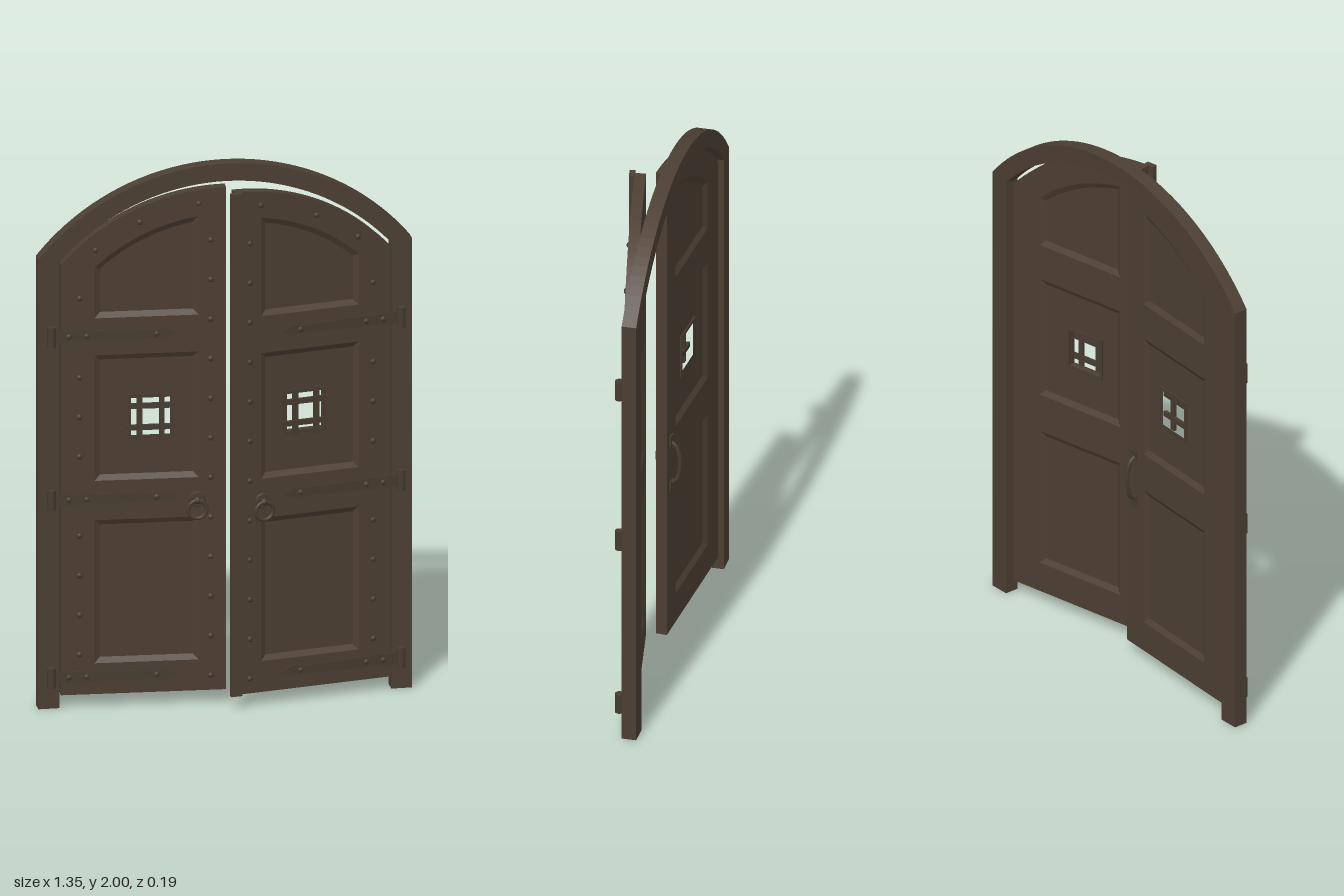
import * as THREE from 'three';

const wood = new THREE.MeshStandardMaterial({ color: 0x4c3e32 });
wood.name = 'dark oak';
const iron = new THREE.MeshStandardMaterial({ color: 0x463b30 });
iron.name = 'brown iron';

const CY = 1.128;                       // shared centre height of all arches
const FRONT = -0.044, BACK = -0.085;    // faces of a closed door leaf
const PANEL_FRONT = -0.056, PANEL_BACK = -0.073;
const PIVOT_X = 0.632, PIVOT_Z = -0.03;
const STRAPS = [0.116, 0.78, 1.39];

function add(parent, name, geometry, material, x = 0, y = 0, z = 0) {
  const mesh = new THREE.Mesh(geometry, material);
  mesh.name = name;
  mesh.position.set(x, y, z);
  parent.add(mesh);
  return mesh;
}

const vec = (x, y) => new THREE.Vector2(x, y);
const archY = (x, r) => CY + Math.sqrt(r * r - x * x);

// Points along an arch from x = a to x = b
function arch(r, a, b, n = 20) {
  const t0 = Math.acos(a / r), t1 = Math.acos(b / r), pts = [];
  for (let i = 0; i <= n; i++) {
    const t = t0 + (t1 - t0) * i / n;
    pts.push(vec(r * Math.cos(t), CY + r * Math.sin(t)));
  }
  return pts;
}

function plate(outline, holes, z0, z1) {
  const shape = new THREE.Shape(outline);
  holes.forEach(h => shape.holes.push(new THREE.Path(h)));
  const g = new THREE.ExtrudeGeometry(shape, { depth: z1 - z0, bevelEnabled: false });
  return g.translate(0, 0, z0);
}

const rect = (x0, x1, y0, y1) => [vec(x0, y0), vec(x1, y0), vec(x1, y1), vec(x0, y1)];

// Panel outline, shrunk by an inset; r gives an arched top
function panelOutline({ y0, y1, r }, inset) {
  const x0 = 0.104 + inset, x1 = 0.476 - inset;
  if (!r) return rect(x0, x1, y0 + inset, y1 - inset);
  return [vec(x0, y0 + inset), vec(x1, y0 + inset), ...arch(r - inset, x1, x0, 14)];
}

// Sloped moulding between two outlines at two depths
function moulding(outer, inner, zOuter, zInner, flip) {
  const pos = [], idx = [], n = outer.length;
  for (let i = 0; i < n; i++) {
    pos.push(outer[i].x, outer[i].y, zOuter, inner[i].x, inner[i].y, zInner);
    const a = 2 * i, b = 2 * ((i + 1) % n);
    if (flip) idx.push(a, b + 1, b, a, a + 1, b + 1);
    else idx.push(a, b, b + 1, a, b + 1, a + 1);
  }
  let g = new THREE.BufferGeometry();
  g.setAttribute('position', new THREE.Float32BufferAttribute(pos, 3));
  g.setIndex(idx);
  g = g.toNonIndexed();
  g.computeVertexNormals();
  return g;
}

const studGeo = new THREE.SphereGeometry(0.011, 10, 4, 0, Math.PI * 2, 0, Math.PI / 2)
  .rotateX(Math.PI / 2).scale(1, 1, 0.7);

// One leaf; s = 1 for the left (+x) leaf, -1 for the right
function makeDoor(s, angle) {
  const pivot = new THREE.Group();
  pivot.name = s > 0 ? 'leftDoor' : 'rightDoor';
  pivot.position.set(s * PIVOT_X, 0, PIVOT_Z);
  pivot.rotation.y = s * angle;
  const door = new THREE.Group();
  door.name = 'doorLeaf';
  door.position.set(-s * PIVOT_X, 0, -PIVOT_Z);
  pivot.add(door);
  const flipX = pts => pts.map(p => vec(s * p.x, p.y));

  // Stiles and rails
  const panels = [{ y0: 0.165, y1: 0.70 }, { y0: 0.847, y1: 1.317 }, { y0: 1.455, r: 0.703 }];
  const leaf = [vec(0.006, 0.05), vec(0.597, 0.05), ...arch(0.8, 0.597, 0.006)];
  add(door, 'stilesAndRails',
    plate(flipX(leaf), panels.map(p => flipX(panelOutline(p, 0))), BACK, FRONT), wood);

  // Recessed panels with sloped mouldings on both faces
  const wx = 0.275, wy = 1.08;
  const opening = flipX(rect(wx - 0.07, wx + 0.07, wy - 0.07, wy + 0.07));
  panels.forEach((p, i) => {
    const outer = flipX(panelOutline(p, 0)), inner = flipX(panelOutline(p, 0.02));
    add(door, 'panel', plate(outer, i === 1 ? [opening] : [], PANEL_BACK, PANEL_FRONT), wood);
    add(door, 'frontMoulding', moulding(outer, inner, FRONT, PANEL_FRONT, s < 0), wood);
    add(door, 'backMoulding', moulding(outer, inner, BACK, PANEL_BACK, s > 0), wood);
  });

  // Barred peep window
  const surround = flipX(rect(wx - 0.081, wx + 0.081, wy - 0.081, wy + 0.081));
  add(door, 'windowSurround', plate(surround, [opening], PANEL_BACK - 0.006, PANEL_FRONT + 0.006), iron);
  for (const o of [-0.04, 0.04]) {
    add(door, 'windowBar', new THREE.BoxGeometry(0.019, 0.176, 0.012), iron, s * (wx + o), wy, -0.047);
    add(door, 'windowCrossbar', new THREE.BoxGeometry(0.176, 0.019, 0.012), iron, s * wx, wy + o, -0.05);
  }

  // Studs along stiles, arch and straps
  const studs = [];
  for (let i = 0; i < 12; i++) studs.push([0.061, 0.105 + 0.148 * i]);
  for (let i = 0; i < 10; i++) if (i !== 4 && i !== 8) studs.push([0.53, 0.2 + 0.148 * i]);
  for (const x of [0.103, 0.315, 0.473]) studs.push([x, archY(x, 0.75)]);
  for (const y of STRAPS) for (const x of [0.568, 0.504, 0.254]) studs.push([x, y]);
  for (const [x, y] of studs) add(door, 'stud', studGeo, iron, s * x, y, FRONT + 0.001);

  // Tapered strap hinges with knuckles
  for (const y of STRAPS) {
    const strap = [vec(0.625, y - 0.022), vec(0.625, y + 0.022), vec(0.26, y + 0.015),
      vec(0.225, y + 0.022), vec(0.18, y), vec(0.225, y - 0.022), vec(0.26, y - 0.015)];
    add(door, 'hingeStrap', plate(flipX(strap), [], FRONT, FRONT + 0.003), iron);
    add(door, 'hingeKnuckle', new THREE.CylinderGeometry(0.016, 0.016, 0.075, 14), iron,
      s * PIVOT_X, y + 0.005, PIVOT_Z);
  }

  // Ring pull
  const rx = s * 0.11;
  const rose = add(door, 'ringRose', new THREE.CylinderGeometry(0.026, 0.03, 0.008, 16), iron, rx, 0.765, FRONT + 0.004);
  rose.rotation.x = Math.PI / 2;
  add(door, 'ringBoss', new THREE.SphereGeometry(0.014, 12, 8), iron, rx, 0.765, FRONT + 0.014);
  add(door, 'ringPull', new THREE.TorusGeometry(0.033, 0.007, 8, 24), iron, rx, 0.732, FRONT + 0.018);

  if (s > 0) {
    // Cover strip over the meeting edge
    add(door, 'coverStrip', new THREE.BoxGeometry(0.041, 1.878, 0.02), wood, 0.0055, 0.989, FRONT + 0.009);
  } else {
    // Bowed pull handle on the inside
    const curve = new THREE.CatmullRomCurve3([[-0.085, 0], [-0.065, 0.022], [0, 0.034], [0.065, 0.022], [0.085, 0]]
      .map(([y, d]) => new THREE.Vector3(-0.052, 0.73 + y, BACK - d)));
    add(door, 'insideHandle', new THREE.TubeGeometry(curve, 20, 0.008, 8), iron);
    for (const dy of [-0.092, 0.092])
      add(door, 'handlePlate', new THREE.BoxGeometry(0.028, 0.04, 0.006), iron, -0.052, 0.73 + dy, BACK - 0.003);
  }
  return pivot;
}

export function createModel() {
  const model = new THREE.Group();
  model.name = 'archedDoubleDoor';

  // Arched surround
  const outline = [vec(-0.6, 0), vec(-0.675, 0), ...arch(0.872, -0.675, 0.675, 40),
    vec(0.675, 0), vec(0.6, 0), ...arch(0.807, 0.6, -0.6, 40)];
  add(model, 'doorFrame', plate(outline, [], -0.102, -0.049), wood);

  model.add(makeDoor(1, THREE.MathUtils.degToRad(10.5)));
  model.add(makeDoor(-1, THREE.MathUtils.degToRad(3.8)));
  return model;
}
